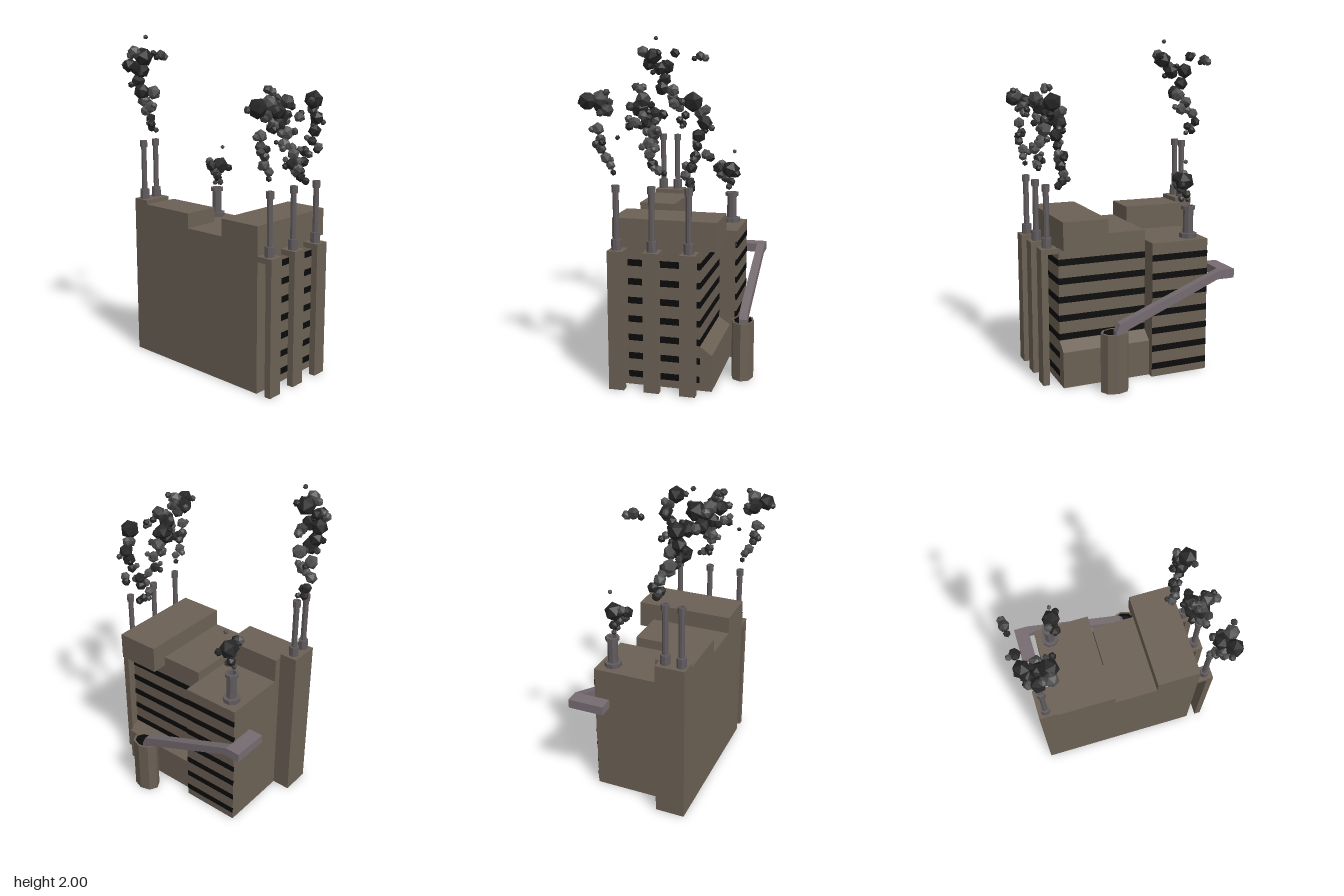
import * as THREE from 'three';

const mat = (color, side = THREE.FrontSide) =>
  new THREE.MeshStandardMaterial({ color, flatShading: true, side });
const WALL = mat(0x6b6054), GLASS = mat(0x0b0b0b), DUCT = mat(0x756b70), PIPE = mat(0x615b5e);
const SMOKE = [mat(0x262626), mat(0x3c3c3c), mat(0x505050)];

function add(parent, name, geometry, material) {
  const mesh = new THREE.Mesh(geometry, material);
  mesh.name = name;
  parent.add(mesh);
  return mesh;
}

// box given by its limits on each axis
function box(parent, name, [x0, x1], [y0, y1], [z0, z1], material = WALL) {
  const g = new THREE.BoxGeometry(x1 - x0, y1 - y0, z1 - z0);
  g.translate((x0 + x1) / 2, (y0 + y1) / 2, (z0 + z1) / 2);
  return add(parent, name, g, material);
}

// closed outline [x, y] pushed along z
function extrude(points, depth) {
  const shape = new THREE.Shape(points.map(([x, y]) => new THREE.Vector2(x, y)));
  return new THREE.ExtrudeGeometry(shape, { depth, bevelEnabled: false });
}

// faceted pipe with a thick foot and a collar at the mouth
function chimney(parent, name, x, y, z, profile) {
  const pts = profile.map(([r, h]) => new THREE.Vector2(r, h));
  const g = new THREE.LatheGeometry(pts, 8, Math.PI / 8);
  add(parent, name, g, mat(0x615b5e, THREE.DoubleSide)).position.set(x, y, z);
}
const slim = h => [[0.029, 0], [0.029, 0.06], [0.017, 0.06], [0.017, h - 0.04],
  [0.023, h - 0.04], [0.023, h], [0.014, h], [0.014, h - 0.06], [0, h - 0.06]];
const stout = [[0.053, 0], [0.053, 0.027], [0.031, 0.027], [0.031, 0.17], [0.042, 0.17],
  [0.042, 0.192], [0.026, 0.192], [0.026, 0.14], [0, 0.14]];

let seed = 7;
const rand = () => {
  seed = (seed * 16807) % 2147483647;
  return seed / 2147483647;
};

// puffs [x, y, z, radius], each larger one with small satellites
function plume(parent, name, puffs, satellites = 2) {
  const group = new THREE.Group();
  group.name = name;
  const puff = (x, y, z, r) => {
    const m = add(group, 'puff', new THREE.IcosahedronGeometry(r, 0),
      SMOKE[r > 0.045 ? 0 : Math.floor(rand() * 3)]);
    m.position.set(x, y, z);
    m.rotation.set(rand() * 6, rand() * 6, rand() * 6);
  };
  for (const [x, y, z, r] of puffs) {
    puff(x, y, z, r);
    if (r < 0.028) continue;
    for (let i = 0; i < satellites; i++) {
      const a = rand() * Math.PI * 2;
      puff(x + Math.cos(a) * r, y + (rand() - 0.5) * 0.06, z + Math.sin(a) * r, 0.018 + rand() * 0.012);
    }
  }
  parent.add(group);
}

export function createModel() {
  const model = new THREE.Group();
  model.name = 'factory';

  // building volumes
  box(model, 'mainHall', [-0.31, 0.2], [0, 0.82], [-0.07, 0.47]);
  box(model, 'middleRoof', [-0.31, 0.2], [0.82, 0.88], [-0.07, 0.2]);
  box(model, 'frontRoofBlock', [-0.31, 0.295], [0.82, 0.985], [0.2, 0.47]);
  box(model, 'rearHall', [-0.31, 0.31], [0, 0.82], [-0.43, -0.07]);
  box(model, 'rearRoofBlock', [-0.31, -0.085], [0.82, 0.97], [-0.43, -0.07]);
  box(model, 'rearTower', [-0.31, -0.13], [0, 0.995], [-0.54, -0.43]);

  // low annex with a sloping roof along the right wall
  const annex = extrude([[0.2, 0], [0.27, 0], [0.27, 0.215], [0.2, 0.265]], 0.54);
  add(model, 'sideAnnex', annex, WALL).position.z = -0.07;

  // window bands
  for (let i = 0; i < 7; i++) {
    const y = 0.065 + i * 0.111, h = [y - 0.019, y + 0.019];
    box(model, 'frontWindowBand', [-0.22, 0.2], h, [0.46, 0.472], GLASS);
    box(model, 'rearWindowBand', [0.3, 0.312], h, [-0.43, -0.07], GLASS);
    if (i > 1) box(model, 'sideWindowBand', [0.19, 0.202], h, [-0.07, 0.472], GLASS);
  }

  // front piers, bracketed to the wall at the top, each with a chimney
  for (const x of [-0.265, -0.06, 0.15]) {
    const w = [x - 0.045, x + 0.045];
    box(model, 'frontPier', w, [0, 0.815], [0.53, 0.57]);
    box(model, 'pierBracket', w, [0.783, 0.815], [0.47, 0.53]);
    chimney(model, 'frontChimney', x - 0.003, 0.815, 0.522, slim(0.365));
  }
  for (const x of [-0.272, -0.175]) chimney(model, 'towerChimney', x, 0.995, -0.492, slim(0.365));
  chimney(model, 'roofStack', 0.225, 0.82, -0.342, stout);

  // open octagonal tank
  const tank = new THREE.Group();
  tank.name = 'sideTank';
  tank.position.set(0.4, 0, 0.205);
  tank.scale.set(0.066, 1, 0.086);
  const shell = [[0, 0], [1, 0], [1, 0.35], [0.82, 0.35]].map(p => new THREE.Vector2(...p));
  add(tank, 'tankShell', new THREE.LatheGeometry(shell, 8), mat(0x6b6054, THREE.DoubleSide));
  const lining = [[0.82, 0.35], [0.82, 0.3], [0, 0.3]].map(p => new THREE.Vector2(...p));
  add(tank, 'tankLining', new THREE.LatheGeometry(lining, 8), mat(0x0b0b0b, THREE.DoubleSide));
  model.add(tank);

  // duct from behind the rear hall down to the tank
  box(model, 'ductElbow', [0.2, 0.375], [0.595, 0.65], [-0.55, -0.46], DUCT);
  const arm = extrude([[0.55, 0.595], [0.55, 0.65], [0.46, 0.65], [-0.18, 0.397],
    [-0.203, 0.35], [-0.203, 0.32], [-0.16, 0.32], [-0.14, 0.355], [0.44, 0.595]].reverse(), 0.05);
  arm.rotateY(Math.PI / 2);
  add(model, 'ductArm', arm, DUCT).position.x = 0.375;

  // smoke
  plume(model, 'frontSmokeRight', [
    [-0.28, 1.25, 0.52, 0.018], [-0.29, 1.29, 0.53, 0.027], [-0.32, 1.33, 0.52, 0.034],
    [-0.34, 1.38, 0.54, 0.03], [-0.35, 1.43, 0.52, 0.032], [-0.36, 1.49, 0.53, 0.036],
    [-0.31, 1.59, 0.52, 0.04], [-0.35, 1.62, 0.5, 0.05], [-0.41, 1.64, 0.55, 0.054],
    [-0.33, 1.66, 0.56, 0.045], [-0.245, 1.445, 0.54, 0.014]], 1);
  plume(model, 'frontSmokeMiddle', [
    [-0.02, 1.27, 0.52, 0.03], [-0.06, 1.3, 0.5, 0.034], [-0.07, 1.36, 0.52, 0.036],
    [-0.09, 1.41, 0.47, 0.038], [-0.06, 1.47, 0.46, 0.045], [-0.1, 1.52, 0.43, 0.05],
    [-0.07, 1.56, 0.43, 0.052], [-0.14, 1.6, 0.46, 0.055], [-0.11, 1.65, 0.5, 0.045],
    [-0.15, 1.7, 0.43, 0.028], [-0.09, 1.57, 0.57, 0.03], [-0.17, 1.52, 0.46, 0.034]], 2);
  plume(model, 'frontSmokeLeft', [
    [0.1, 1.23, 0.4, 0.032], [0.13, 1.19, 0.42, 0.03], [0.14, 1.28, 0.43, 0.035],
    [0.16, 1.34, 0.42, 0.034], [0.18, 1.4, 0.46, 0.03], [0.23, 1.36, 0.47, 0.03],
    [0.19, 1.46, 0.47, 0.04], [0.22, 1.53, 0.46, 0.044], [0.19, 1.58, 0.45, 0.034],
    [0.16, 1.64, 0.48, 0.058]], 1);
  plume(model, 'towerSmoke', [
    [-0.15, 1.41, -0.51, 0.018], [-0.17, 1.45, -0.53, 0.028], [-0.14, 1.48, -0.57, 0.032],
    [-0.18, 1.53, -0.57, 0.036], [-0.2, 1.56, -0.5, 0.04], [-0.22, 1.6, -0.54, 0.042],
    [-0.2, 1.65, -0.47, 0.045], [-0.28, 1.66, -0.49, 0.05], [-0.27, 1.72, -0.53, 0.045],
    [-0.29, 1.79, -0.47, 0.048], [-0.32, 1.87, -0.42, 0.058], [-0.37, 1.82, -0.49, 0.045],
    [-0.26, 1.8, -0.55, 0.05], [-0.39, 1.9, -0.42, 0.04], [-0.21, 1.89, -0.56, 0.034],
    [-0.3, 1.985, -0.42, 0.015], [-0.04, 1.87, -0.575, 0.034], [-0.08, 1.855, -0.57, 0.02]], 1);
  plume(model, 'stackSmoke', [
    [0.21, 1.045, -0.345, 0.017], [0.22, 1.08, -0.33, 0.03], [0.19, 1.11, -0.31, 0.034],
    [0.22, 1.16, -0.315, 0.06], [0.14, 1.17, -0.31, 0.038], [0.245, 1.28, -0.31, 0.014]], 1);

  return model;
}
